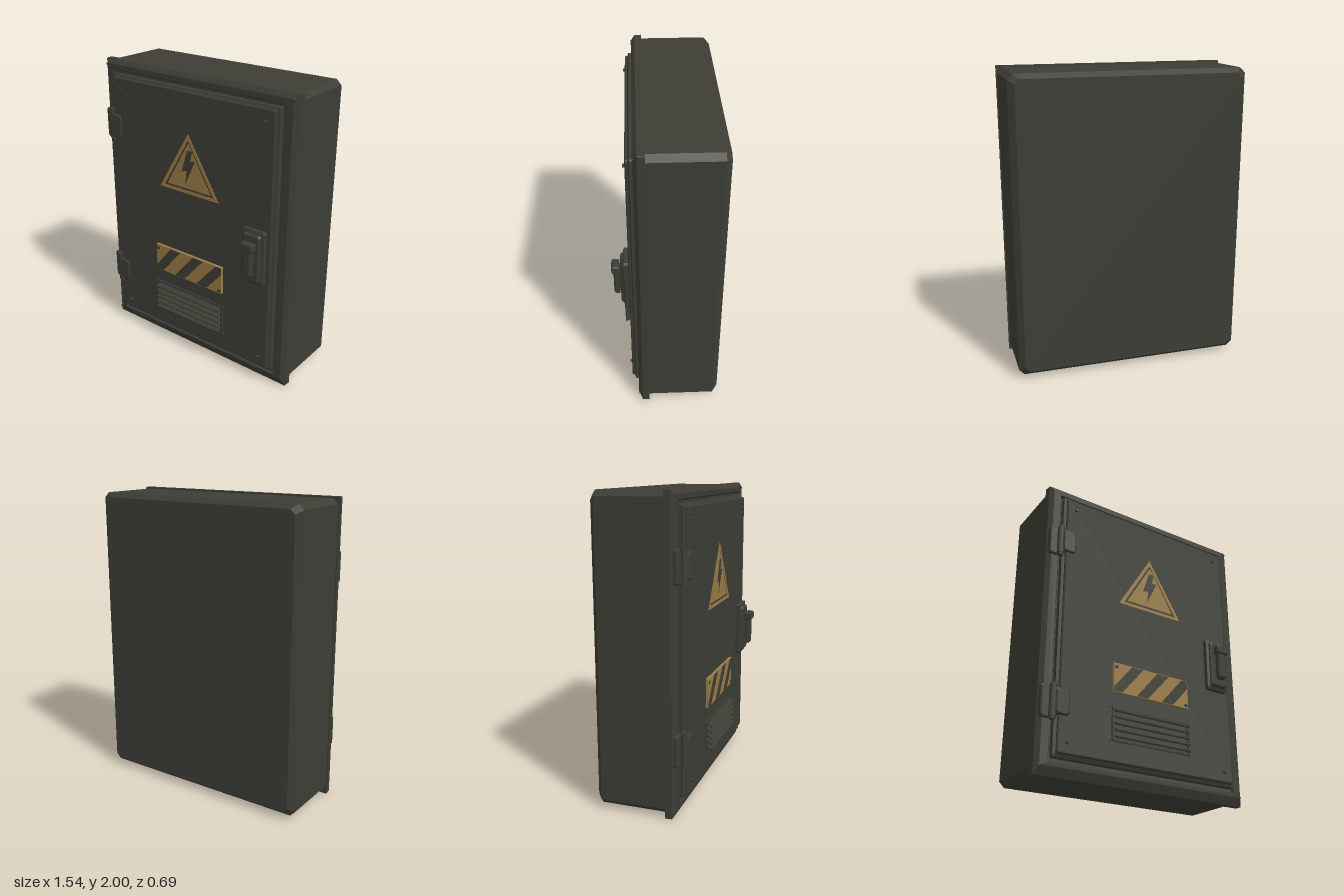
import * as THREE from 'three';

const steel = new THREE.MeshStandardMaterial({ color: 0x3d3d36 });
steel.name = 'dark steel';
const yellow = new THREE.MeshStandardMaterial({ color: 0x9a7b43 });
yellow.name = 'faded yellow';

// Flat-shaded slab lofted along z through corner-cut rectangles: [z, x0, x1, y0, y1, cut]
function slab(sections) {
  const rings = sections.map(([z, x0, x1, y0, y1, c = 0.004]) => [
    [x1, y0 + c, z], [x1, y1 - c, z], [x1 - c, y1, z], [x0 + c, y1, z],
    [x0, y1 - c, z], [x0, y0 + c, z], [x0 + c, y0, z], [x1 - c, y0, z]]);
  const pos = [];
  const tri = (a, b, c) => pos.push(...a, ...b, ...c);
  for (let s = 0; s < rings.length - 1; s++) {
    const a = rings[s], b = rings[s + 1];
    for (let i = 0; i < 8; i++) {
      const j = (i + 1) % 8;
      tri(a[i], a[j], b[j]);
      tri(a[i], b[j], b[i]);
    }
  }
  const back = rings[0], front = rings[rings.length - 1];
  for (let i = 1; i < 7; i++) {
    tri(back[0], back[i + 1], back[i]);
    tri(front[0], front[i], front[i + 1]);
  }
  const g = new THREE.BufferGeometry();
  g.setAttribute('position', new THREE.Float32BufferAttribute(pos, 3));
  g.computeVertexNormals();
  return g;
}

// Block from z0 to z1 with its front edges bevelled by b
const block = (x0, x1, y0, y1, z0, z1, b, cut) => slab([
  [z0, x0, x1, y0, y1, cut],
  [z1 - b, x0, x1, y0, y1, cut],
  [z1, x0 + b, x1 - b, y0 + b, y1 - b, cut]]);

// Thin plate cut from an outline, with optional holes
function plate(points, holes, z, depth) {
  const toVec = ([x, y]) => new THREE.Vector2(x, y);
  const shape = new THREE.Shape(points.map(toVec));
  for (const h of holes) shape.holes.push(new THREE.Path(h.map(toVec)));
  return new THREE.ExtrudeGeometry(shape, { depth, bevelEnabled: false }).translate(0, 0, z);
}

export function createModel() {
  const model = new THREE.Group();
  model.name = 'electrical cabinet';
  const add = (name, geometry, material = steel, parent = model) => {
    const m = new THREE.Mesh(geometry, material);
    m.name = name;
    parent.add(m);
    return m;
  };
  const group = (name) => {
    const g = new THREE.Group();
    g.name = name;
    model.add(g);
    return g;
  };
  const screw = (x, y, z, r, parent) => {
    const g = new THREE.CylinderGeometry(r * 0.8, r, 0.02, 10).rotateX(Math.PI / 2);
    add('screw', g, steel, parent).position.set(x, y, z);
  };

  // Housing with bevelled back, and the flange round its mouth
  add('housing', slab([
    [-0.345, -0.725, 0.725, 0.055, 1.96, 0.03],
    [-0.31, -0.765, 0.765, 0.025, 1.99, 0.035],
    [0.13, -0.765, 0.765, 0.025, 1.99, 0.035]]));
  add('flange', slab([
    [0.12, -0.772, 0.772, 0, 2],
    [0.165, -0.768, 0.768, 0, 2],
    [0.19, -0.74, 0.74, 0.055, 1.972],
    [0.19, -0.69, 0.69, 0.07, 1.94],
    [0.175, -0.68, 0.68, 0.08, 1.93]]));
  for (const x of [-0.742, 0.742]) for (const y of [0.055, 1.965]) screw(x, y, 0.182, 0.01, model);

  // Door with stepped edge
  add('door', slab([
    [0.17, -0.672, 0.672, 0.105, 1.915, 0.008],
    [0.208, -0.672, 0.672, 0.105, 1.915, 0.008],
    [0.216, -0.655, 0.655, 0.125, 1.9, 0.008],
    [0.227, -0.655, 0.655, 0.125, 1.9, 0.008],
    [0.233, -0.648, 0.648, 0.132, 1.893, 0.008]]));
  for (const x of [-0.59, 0.585]) for (const y of [0.195, 1.825]) screw(x, y, 0.236, 0.013, model);

  // Hinges
  for (const y of [0.44, 1.56]) {
    const hinge = group('hinge');
    add('frame leaf', block(-0.76, -0.69, y - 0.105, y + 0.105, 0.17, 0.206, 0.008, 0.012), steel, hinge);
    add('door leaf', block(-0.68, -0.585, y - 0.085, y + 0.085, 0.2, 0.244, 0.01, 0.012), steel, hinge);
    add('knuckle', new THREE.CylinderGeometry(0.023, 0.023, 0.2, 12), steel, hinge).position.set(-0.688, y, 0.216);
    for (const s of [-1, 1]) {
      add('pin cap', new THREE.CylinderGeometry(0.018, 0.018, 0.02, 12), steel, hinge)
        .position.set(-0.688, y + s * 0.104, 0.216);
    }
  }

  // Warning triangle: border, then inner field with the bolt cut out
  const sign = group('warning sign');
  const zs = 0.231, ts = 0.005;
  add('sign border', plate(
    [[-0.245, 1.22], [0.25, 1.22], [0.002, 1.63]],
    [[[-0.205, 1.241], [0.002, 1.587], [0.21, 1.241]]], zs, ts), yellow, sign);
  add('sign field', plate(
    [[-0.18, 1.256], [0.185, 1.256], [0.002, 1.565]],
    [[[-0.005, 1.52], [-0.055, 1.365], [-0.012, 1.38], [-0.022, 1.288],
      [0.058, 1.455], [0.02, 1.45], [0.036, 1.52]].reverse()], zs, ts), yellow, sign);
  // Bolt tip that reaches past the field's sloping edge
  add('bolt', plate(
    [[-0.005, 1.52], [-0.055, 1.365], [-0.012, 1.38], [-0.022, 1.288],
      [0.058, 1.455], [0.02, 1.45], [0.036, 1.52]], [], zs, ts + 0.0005), steel, sign);

  // Hazard plate: yellow panel with slanted dark stripes
  const hazard = group('hazard plate');
  add('hazard panel', block(-0.29, 0.29, 0.573, 0.773, 0.225, 0.25, 0.003), yellow, hazard);
  const lo = 0.579, hi = 0.767, left = -0.284, right = 0.284;
  const stripes = [
    [[-0.16, hi], [-0.225, lo - 0], [left, lo], [left, 0.612], [-0.155, hi]],
    [[0.042, hi], [-0.117, lo], [-0.032, lo], [0.132, hi]],
    [[0.238, hi], [0.074, lo], [0.164, lo], [right, 0.717], [right, hi]]];
  stripes[0] = [[-0.155, hi], [left, 0.612], [left, lo], [-0.228, lo], [-0.069, hi]];
  stripes.forEach((p) => add('hazard stripe', plate(p, [], 0.247, 0.005), steel, hazard));
  for (const [x, y] of [[-0.27, 0.745], [0.27, 0.595]]) {
    add('rivet', new THREE.BoxGeometry(0.022, 0.018, 0.008), steel, hazard).position.set(x, y, 0.251);
  }

  // Louvred vent
  const vent = group('vent');
  const rect = (x, y0, y1) => [[-x, y0], [x, y0], [x, y1], [-x, y1]];
  add('vent rim', plate(rect(0.292, 0.258, 0.475), [rect(0.278, 0.272, 0.461).reverse()], 0.228, 0.016), steel, vent);
  for (let i = 0; i < 5; i++) {
    const slat = add('slat', new THREE.BoxGeometry(0.555, 0.012, 0.05), steel, vent);
    slat.position.set(0, 0.286 + i * 0.041, 0.252);
    slat.rotation.x = 0.5;
  }
  for (const x of [-0.302, 0.297]) for (const y of [0.256, 0.477]) screw(x, y, 0.23, 0.009, vent);

  // Latch: bevelled base, neck, lever and thumb grip
  const latch = group('latch');
  add('latch base', slab([
    [0.225, 0.456, 0.626, 0.755, 1.13, 0.012],
    [0.262, 0.456, 0.626, 0.755, 1.13, 0.012],
    [0.268, 0.475, 0.607, 0.775, 1.11, 0.012],
    [0.28, 0.48, 0.602, 0.78, 1.105, 0.012],
    [0.286, 0.488, 0.594, 0.788, 1.097, 0.012]]), steel, latch);
  add('latch neck', block(0.52, 0.562, 0.85, 1.04, 0.28, 0.31, 0.002), steel, latch);
  add('lever', block(0.511, 0.571, 0.828, 1.04, 0.292, 0.33, 0.01, 0.01), steel, latch);
  add('thumb grip', slab([
    [0.29, 0.503, 0.579, 1.014, 1.058, 0.008],
    [0.298, 0.495, 0.587, 1.006, 1.066, 0.008],
    [0.334, 0.495, 0.587, 1.006, 1.066, 0.008],
    [0.342, 0.503, 0.579, 1.014, 1.058, 0.008]]), steel, latch);

  return model;
}
